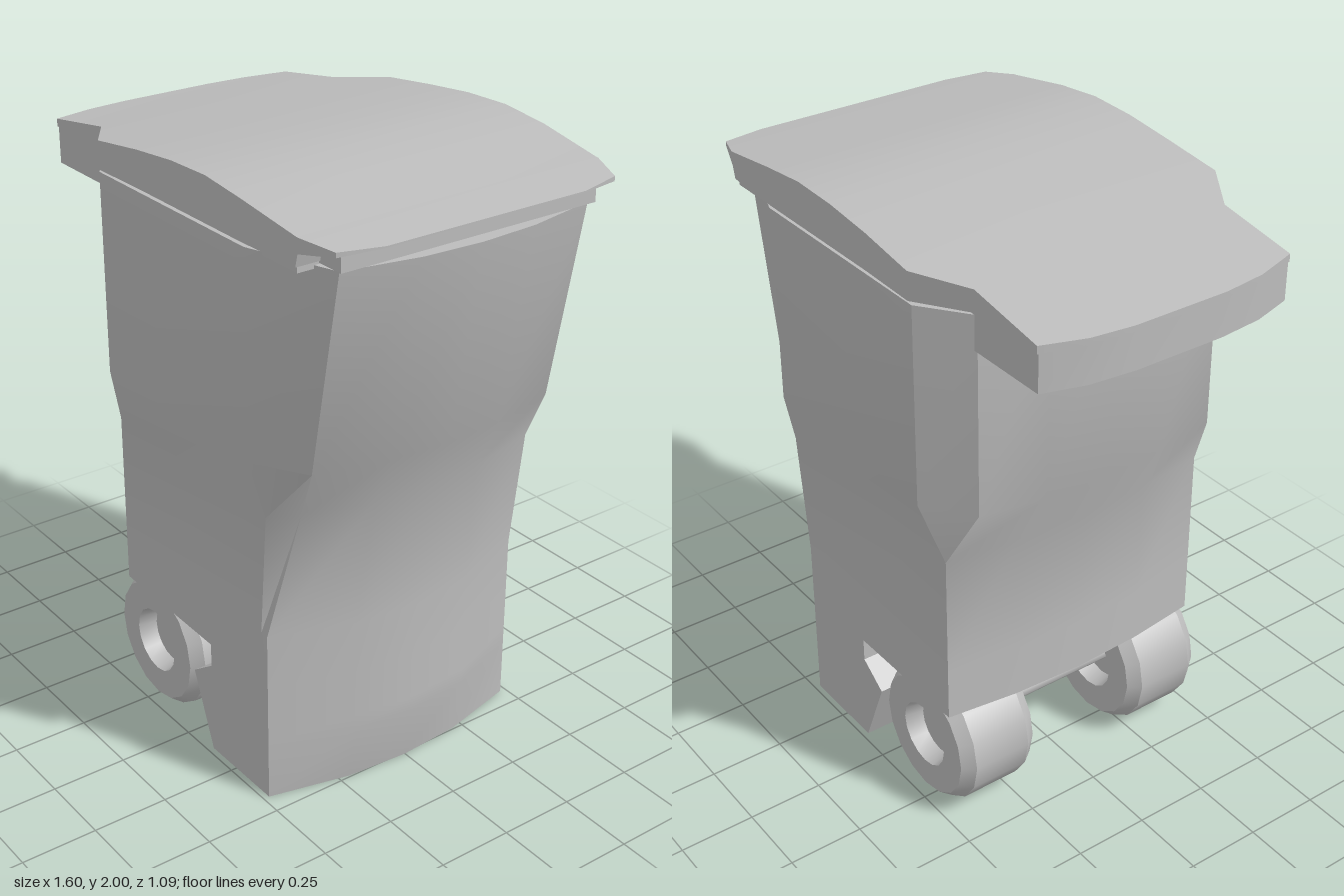
import * as THREE from 'three';
import { toCreasedNormals } from 'three/addons/utils/BufferGeometryUtils.js';

const grey = new THREE.MeshStandardMaterial({ color: 0xbcbcbc });
grey.name = 'light grey plastic';

// Skins a stack of equal-length rings and closes both ends with fans.
function loft(rings, startCentre, endCentre) {
  const pos = [];
  const tri = (...pts) => pts.forEach((p) => pos.push(...p));
  const mean = (ring) => [0, 1, 2].map((k) => ring.reduce((s, p) => s + p[k], 0) / ring.length);
  const first = rings[0], last = rings[rings.length - 1], n = first.length;
  const c0 = startCentre || mean(first), c1 = endCentre || mean(last);
  for (let j = 0; j < n; j++) {
    const k = (j + 1) % n;
    for (let i = 0; i < rings.length - 1; i++) {
      const [a, b, c, d] = [rings[i][j], rings[i][k], rings[i + 1][k], rings[i + 1][j]];
      tri(a, b, c);
      tri(a, c, d);
    }
    tri(c0, first[k], first[j]);
    tri(c1, last[j], last[k]);
  }
  const geo = new THREE.BufferGeometry();
  geo.setAttribute('position', new THREE.Float32BufferAttribute(pos, 3));
  return toCreasedNormals(geo, 0.62);
}

function part(name, geo) {
  const mesh = new THREE.Mesh(geo, grey);
  mesh.name = name;
  return mesh;
}

// Horizontal body outline: bowed back, chamfered corners, bowed front.
function bodyRing([y, backMid, back, backZ, side, w, sideFront, front, frontZ, frontMid, frontZr = frontZ]) {
  const half = (fz) => [
    [back + (backMid - back) * 0.75, y, backZ * 0.5],
    [back, y, backZ],
    [side, y, w],
    [sideFront, y, w],
    [front, y, fz],
    [front + (frontMid - front) * 0.8, y, fz * 0.45],
  ];
  const right = half(frontZr).map(([x, py, z]) => [x, py, -z]).reverse();
  return [[backMid, y, 0], ...half(frontZ), [frontMid, y, 0], ...right];
}

export function createModel() {
  const bin = new THREE.Group();
  bin.name = 'wheeledBin';

  // Body with the wheel recess cut into its lower back
  const sections = [
    [0, 0.12, 0.12, 0.48, 0.13, 0.48, 0.38, 0.43, 0.48, 0.51],
    [0.2, 0.04, 0.04, 0.48, 0.05, 0.48, 0.38, 0.43, 0.48, 0.55],
    [0.25, 0.02, 0.02, 0.48, 0.03, 0.48, 0.38, 0.43, 0.48, 0.55],
    [0.32, 0.12, 0.12, 0.48, 0.13, 0.48, 0.38, 0.43, 0.48, 0.55],
    [0.4, 0.12, 0.12, 0.48, 0.13, 0.48, 0.38, 0.43, 0.48, 0.55],
    [0.41, -0.41, -0.37, 0.48, -0.37, 0.48, 0.38, 0.43, 0.48, 0.55],
    [0.59, -0.41, -0.37, 0.48, -0.37, 0.48, 0.4, 0.43, 0.48, 0.55],
    [1.0, -0.41, -0.37, 0.48, -0.37, 0.48, 0.43, 0.48, 0.39, 0.565, 0.48],
    [1.2, -0.52, -0.47, 0.43, -0.32, 0.54, 0.43, 0.6, 0.44, 0.675],
    [1.85, -0.52, -0.47, 0.43, -0.32, 0.54, 0.43, 0.72, 0.44, 0.78],
  ];
  bin.add(part('body', loft(sections.map(bodyRing))));

  // Handle shelf behind the rim, with a sloped underside
  const outline = [[-0.8, 0.15], [-0.785, 0.3], [-0.745, 0.435], [-0.45, 0.435]];
  const handleRing = (y) => [
    ...outline.map(([x, z]) => [x, y, z]),
    ...outline.map(([x, z]) => [x, y, -z]).reverse(),
  ];
  bin.add(part('handle', loft([handleRing(1.74), handleRing(1.86)], [-0.5, 1.69, 0])));

  // Lid: x, half width, underside, top
  const stations = [
    [-0.8, 0.16, 1.86, 1.878],
    [-0.785, 0.3, 1.86, 1.88],
    [-0.745, 0.44, 1.86, 1.885],
    [-0.47, 0.44, 1.86, 1.93],
    [-0.31, 0.545, 1.86, 1.95],
    [-0.1, 0.54, 1.86, 1.977],
    [0.08, 0.54, 1.86, 1.995],
    [0.25, 0.54, 1.86, 2.0],
    [0.42, 0.54, 1.86, 1.983],
    [0.65, 0.53, 1.86, 1.947],
    [0.66, 0.53, 1.9, 1.946],
    [0.77, 0.49, 1.915, 1.93],
    [0.8, 0.35, 1.92, 1.925],
  ];
  const lidRing = ([x, w, low, top]) => [[x, top, -w], [x, top, w], [x, low, w], [x, low, -w]];
  bin.add(part('lid', loft(stations.map(lidRing))));

  // Recessed neck under the front overhang, and the strip sealing lid to rim
  const neck = part('lidNeck', new THREE.BoxGeometry(0.14, 0.06, 0.9));
  neck.position.set(0.67, 1.883, 0);
  const seal = part('rimSeal', new THREE.BoxGeometry(0.95, 0.03, 1.04));
  seal.position.set(0.17, 1.855, 0);
  bin.add(neck, seal);

  // Wheels with chamfered treads and recessed hubs on both faces
  const h = 0.14;
  const profile = [
    [0, -h + 0.06], [0.095, -h + 0.06], [0.11, -h], [0.205, -h], [0.235, -h + 0.04],
    [0.235, h - 0.04], [0.205, h], [0.11, h], [0.095, h - 0.06], [0, h - 0.06],
  ].map(([r, y]) => new THREE.Vector2(r, y));
  const wheelGeo = toCreasedNormals(new THREE.LatheGeometry(profile, 16).rotateX(Math.PI / 2), 0.5);
  for (const [name, s] of [['frontSideWheel', 1], ['rearSideWheel', -1]]) {
    const wheel = part(name, wheelGeo);
    wheel.position.set(-0.22, 0.235, s * 0.335);
    bin.add(wheel);
  }
  const axle = part('axle', new THREE.CylinderGeometry(0.03, 0.03, 0.5, 10).rotateX(Math.PI / 2));
  axle.position.set(-0.22, 0.235, 0);
  bin.add(axle);

  return bin;
}
